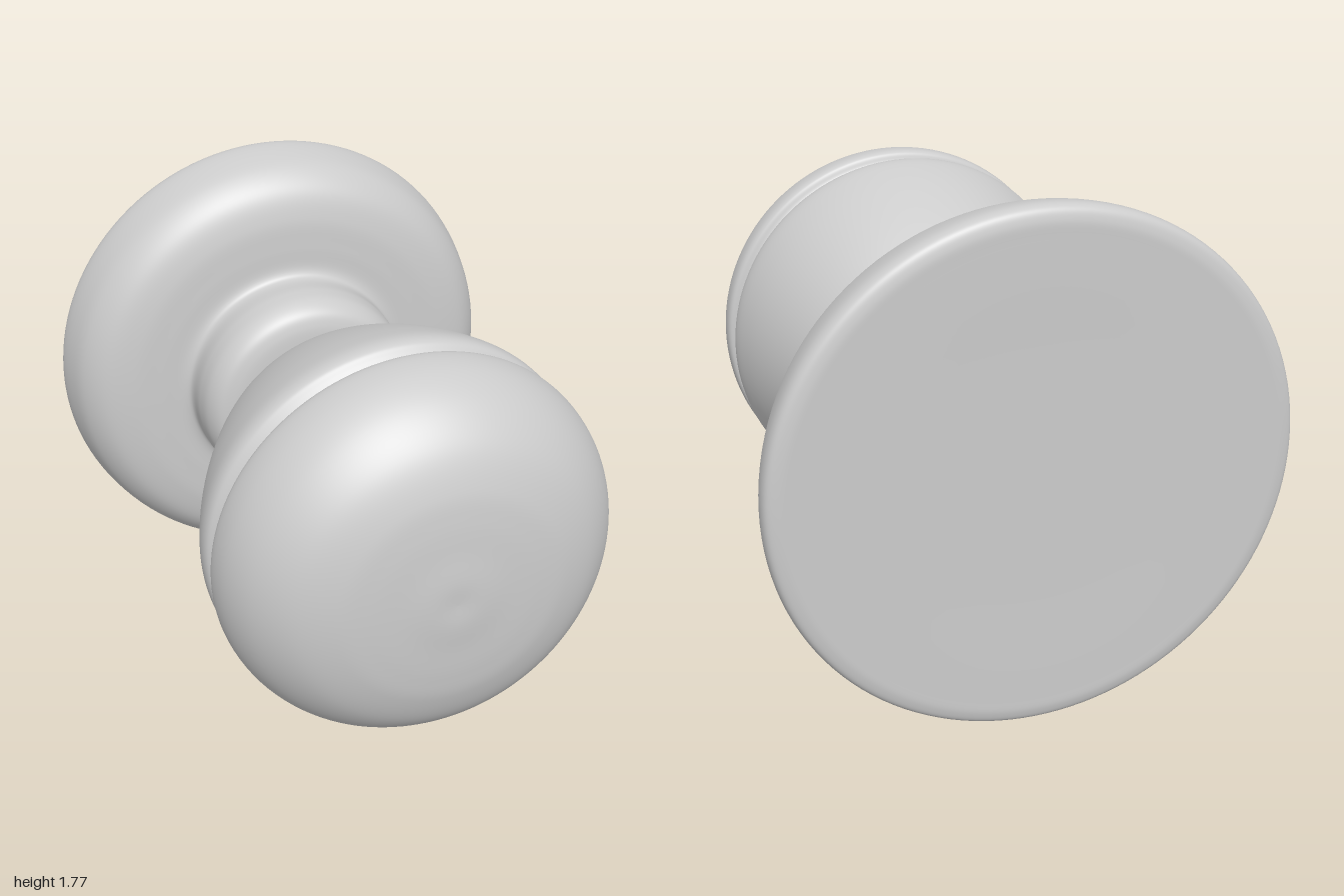
import * as THREE from 'three';

const material = new THREE.MeshStandardMaterial({ color: 0xcccccc });

// Smooth turned part; points are [radius, position along the axis], back to front
function turned(name, points, samples) {
  const curve = new THREE.CatmullRomCurve3(points.map(([r, a]) => new THREE.Vector3(r, a, 0)), false, 'centripetal');
  const profile = curve.getPoints(samples).map((p) => new THREE.Vector2(Math.max(p.x, 0), p.y));
  profile[0].x = points[0][0];
  const mesh = new THREE.Mesh(new THREE.LatheGeometry(profile, 128), material);
  mesh.name = name;
  mesh.rotation.x = Math.PI / 2; // turning axis points to the front
  return mesh;
}

export function createModel() {
  const group = new THREE.Group();
  group.name = 'doorKnob';

  // Wall plate, running into the stepped collar
  const plate = turned('wallPlateAndCollar', [
    [0, -0.985], [0.4, -0.987], [0.78, -0.99], [0.84, -0.988], [0.872, -0.975], [0.883, -0.945],
    [0.868, -0.85], [0.836, -0.767], [0.77, -0.70], [0.665, -0.665], [0.555, -0.655],
    [0.46, -0.648], [0.435, -0.63], [0.43, -0.527], [0.417, -0.457], [0.385, -0.41],
    [0.34, -0.391], [0.28, -0.383], [0.2, -0.382], [0, -0.382],
  ], 150);

  // Thin washer between collar and neck
  const washer = new THREE.Mesh(new THREE.CylinderGeometry(0.262, 0.262, 0.012, 96), material);
  washer.name = 'washer';
  washer.rotation.x = Math.PI / 2;
  washer.position.z = -0.372;

  // Neck flaring into the knob, with a groove and a domed front
  const knob = turned('neckAndKnob', [
    [0.256, -0.39], [0.257, -0.36], [0.262, -0.31], [0.276, -0.26], [0.315, -0.205],
    [0.39, -0.15], [0.47, -0.07], [0.535, 0.035], [0.61, 0.195], [0.667, 0.355],
    [0.69, 0.46], [0.683, 0.50], [0.66, 0.522], [0.642, 0.543], [0.658, 0.568],
    [0.688, 0.582], [0.697, 0.607], [0.685, 0.70], [0.63, 0.81], [0.53, 0.906],
    [0.4, 0.962], [0.3, 0.98], [0.18, 0.99], [0.08, 0.998], [0, 0.996],
  ], 180);

  group.add(plate, washer, knob);

  // The axis leans very slightly to one side and upward
  group.rotation.set(-0.004, -0.0138, 0);
  group.position.set(-0.012, 0.891, 0);

  const model = new THREE.Group();
  model.name = 'model';
  model.add(group);
  return model;
}
